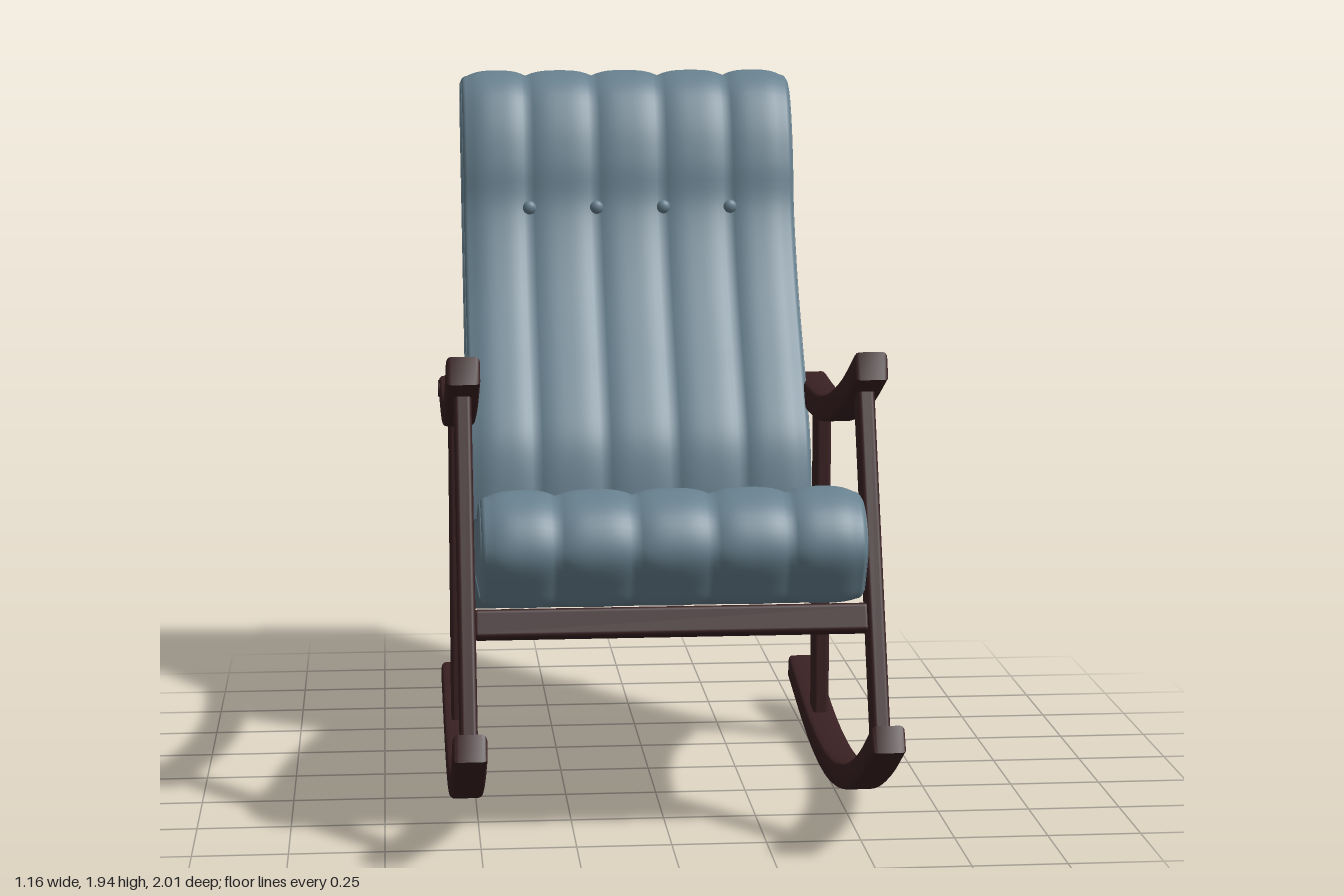
import * as THREE from 'three';
import { toCreasedNormals } from 'three/addons/utils/BufferGeometryUtils.js';
import { RoundedBoxGeometry } from 'three/addons/geometries/RoundedBoxGeometry.js';

const fabric = new THREE.MeshStandardMaterial({ color: 0x68818f });
fabric.name = 'blueFabric';
const wood = new THREE.MeshStandardMaterial({ color: 0x3a2123 });
wood.name = 'darkWood';

const HALF = 0.495; // half width of the cushions
const ROUND = 0.018; // rounding of their side edges
const SEAM = 0.016; // depth of the quilting seams
const SEAMS = [-0.3, -0.1, 0.1, 0.3];

function add(group, name, geometry, material, x = 0, y = 0, z = 0) {
  const mesh = new THREE.Mesh(geometry, material);
  mesh.name = name;
  mesh.position.set(x, y, z);
  group.add(mesh);
  return mesh;
}

// Stations across the width: x, inset all round, extra inset on the quilted faces
function stations() {
  const left = [];
  for (let k = 0; k < 5; k++) {
    const a = (k / 5) * Math.PI / 2;
    left.push([-HALF + ROUND * (1 - Math.cos(a)), ROUND * (1 - Math.sin(a)), SEAM]);
  }
  const bounds = [-HALF + ROUND, ...SEAMS, HALF - ROUND];
  const middle = [];
  for (let b = 0; b < 5; b++) {
    for (let k = b ? 1 : 0; k <= 12; k++) {
      const t = k / 12;
      middle.push([THREE.MathUtils.lerp(bounds[b], bounds[b + 1], t), 0, SEAM * Math.abs(2 * t - 1) ** 3]);
    }
  }
  return [...left, ...middle, ...left.map(([x, i, q]) => [-x, i, q]).reverse()];
}

// Channelled cushion from a side outline of [z, y, quilted 0..1] points
function cushion(name, outline) {
  const group = new THREE.Group();
  group.name = name;
  const curve = new THREE.CatmullRomCurve3(outline.map(([z, y, w]) => new THREE.Vector3(w, y, z)), true, 'centripetal');
  curve.arcLengthDivisions = 800;
  const n = 200;
  const ring = curve.getSpacedPoints(n).slice(0, n);
  const normals = ring.map((p, i) => {
    const t = ring[(i + 1) % n].clone().sub(ring[(i + n - 1) % n]);
    return new THREE.Vector2(t.y, -t.z).normalize();
  });
  const rows = stations().map(([x, inset, quilt]) => ring.map((p, i) => {
    const d = inset + quilt * THREE.MathUtils.clamp(p.x, 0, 1);
    return new THREE.Vector3(x, p.y - normals[i].y * d, p.z - normals[i].x * d);
  }));
  const index = [];
  for (let j = 0; j < rows.length - 1; j++) {
    for (let i = 0; i < n; i++) {
      const a = j * n + i, c = j * n + (i + 1) % n;
      index.push(a, a + n, c, a + n, c + n, c);
    }
  }
  const cover = new THREE.BufferGeometry().setFromPoints(rows.flat());
  cover.setIndex(index);
  cover.computeVertexNormals();
  add(group, name + 'Cover', cover, fabric);
  // Flat side panels with piping
  for (const s of [-1, 1]) {
    const edge = rows[0];
    const panel = new THREE.ShapeGeometry(new THREE.Shape(edge.map((p) => new THREE.Vector2(-s * p.z, p.y))));
    panel.rotateY(s * Math.PI / 2);
    add(group, name + 'SidePanel', panel, fabric, s * HALF);
    const path = new THREE.CatmullRomCurve3(edge.filter((p, i) => i % 2 === 0).map((p) => new THREE.Vector3(0, p.y, p.z)), true);
    add(group, name + 'Piping', new THREE.TubeGeometry(path, 140, 0.005, 6, true), fabric, s * (HALF - 0.002));
  }
  return group;
}

// Bent wooden bar: a strip of even thickness along a [z, y] centre line
function bentBar(points, thickness, width, roundEnd) {
  const bevel = 0.013;
  const h = thickness / 2 - bevel;
  const curve = new THREE.SplineCurve(points.map(([z, y]) => new THREE.Vector2(z, y)));
  const top = [], bottom = [];
  const steps = 28;
  for (let i = 0; i <= steps; i++) {
    const p = curve.getPointAt(i / steps), t = curve.getTangentAt(i / steps);
    top.push(new THREE.Vector2(p.x + t.y * h, p.y - t.x * h));
    bottom.unshift(new THREE.Vector2(p.x - t.y * h, p.y + t.x * h));
  }
  const end = [];
  if (roundEnd) {
    const p = curve.getPointAt(1), t = curve.getTangentAt(1);
    for (let k = 1; k < 8; k++) {
      const a = (k / 8) * Math.PI, c = Math.cos(a) * h, s = Math.sin(a) * h;
      end.push(new THREE.Vector2(p.x + t.y * c + t.x * s, p.y - t.x * c + t.y * s));
    }
  }
  const geometry = new THREE.ExtrudeGeometry(new THREE.Shape([...top, ...end, ...bottom]), {
    depth: width - 2 * bevel, bevelEnabled: true, bevelSize: bevel, bevelThickness: bevel, bevelSegments: 3,
  });
  geometry.translate(0, 0, -(width - 2 * bevel) / 2);
  geometry.rotateY(-Math.PI / 2);
  return toCreasedNormals(geometry, 0.7);
}

export function createModel() {
  const model = new THREE.Group();
  model.name = 'rockingChair';

  // Seat with a rolled front
  model.add(cushion('seat', [
    [-0.165, 0.46, 0], [0.05, 0.555, 0], [0.3, 0.612, 0], [0.55, 0.632, 0], [0.74, 0.645, 0.4],
    [0.83, 0.7, 1], [0.872, 0.8, 1], [0.83, 0.895, 1], [0.73, 0.945, 1], [0.62, 0.92, 1],
    [0.52, 0.87, 1], [0.4, 0.848, 1], [0.2, 0.803, 1], [0, 0.74, 1], [-0.13, 0.695, 1],
    [-0.185, 0.66, 1], [-0.2, 0.61, 0.3], [-0.195, 0.54, 0], [-0.185, 0.475, 0],
  ]));

  // Tall back with a headrest
  model.add(cushion('backrest', [
    [-0.35, 0.402, 0], [-0.31, 0.41, 0], [-0.22, 0.447, 0], [-0.195, 0.475, 0], [-0.198, 0.6, 1],
    [-0.21, 0.75, 1], [-0.25, 0.91, 1], [-0.34, 1.05, 1], [-0.44, 1.18, 1], [-0.56, 1.35, 1],
    [-0.66, 1.55, 1], [-0.685, 1.68, 1], [-0.725, 1.8, 1], [-0.79, 1.9, 1], [-0.88, 1.945, 1],
    [-0.955, 1.92, 1], [-0.99, 1.87, 0.6], [-0.992, 1.82, 0], [-0.96, 1.742, 0], [-0.78, 1.342, 0],
    [-0.58, 0.9, 0], [-0.4, 0.5, 0], [-0.37, 0.43, 0],
  ]));

  // Buttons on the seams
  for (const x of SEAMS) {
    const button = new THREE.SphereGeometry(0.02, 16, 10);
    add(model, 'backButton', button, fabric, x, 1.55, -0.648).scale.z = 0.7;
    add(model, 'seatButton', button, fabric, x, 0.86, 0.5).scale.y = 0.7;
  }

  // Wooden side frames
  const rocker = bentBar([[0.98, 0.332], [0.78, 0.218], [0.55, 0.122], [0.3, 0.06], [0.05, 0.038],
    [-0.25, 0.055], [-0.665, 0.125]], 0.072, 0.088, false);
  const armrest = bentBar([[0.625, 1.242], [0.43, 1.157], [0.25, 1.097], [0.08, 1.053], [-0.1, 1.025],
    [-0.3, 1.018], [-0.525, 1.028]], 0.076, 0.088, true);
  const legFront = new THREE.Vector2(0.505, 1.175), foot = new THREE.Vector2(0.86, 0.275);
  const tilt = Math.atan2(foot.x - legFront.x, legFront.y - foot.y);
  const frontLeg = new RoundedBoxGeometry(0.046, legFront.distanceTo(foot), 0.085, 3, 0.012);
  const rearLeg = new RoundedBoxGeometry(0.046, 0.96, 0.085, 3, 0.012);
  const plug = new THREE.CylinderGeometry(0.025, 0.025, 0.094, 20).rotateZ(Math.PI / 2);
  for (const s of [-1, 1]) {
    const side = new THREE.Group();
    side.name = s > 0 ? 'leftFrame' : 'rightFrame';
    const x = s * 0.532;
    add(side, 'rocker', rocker, wood, x);
    add(side, 'armrest', armrest, wood, x);
    add(side, 'armrestPlug', plug, wood, x, 1.028, -0.525);
    add(side, 'frontLeg', frontLeg, wood, x, (legFront.y + foot.y) / 2, (legFront.x + foot.x) / 2).rotation.x = -tilt;
    add(side, 'rearLeg', rearLeg, wood, x, 0.54, -0.288);
    model.add(side);
  }

  // Cross rails under the seat and the back
  const rail = new RoundedBoxGeometry(1.03, 0.076, 0.06, 3, 0.012);
  add(model, 'frontRail', rail, wood, 0, 0.597, 0.733).rotation.x = -tilt;
  add(model, 'rearRail', rail, wood, 0, 0.36, -0.288);

  return model;
}
